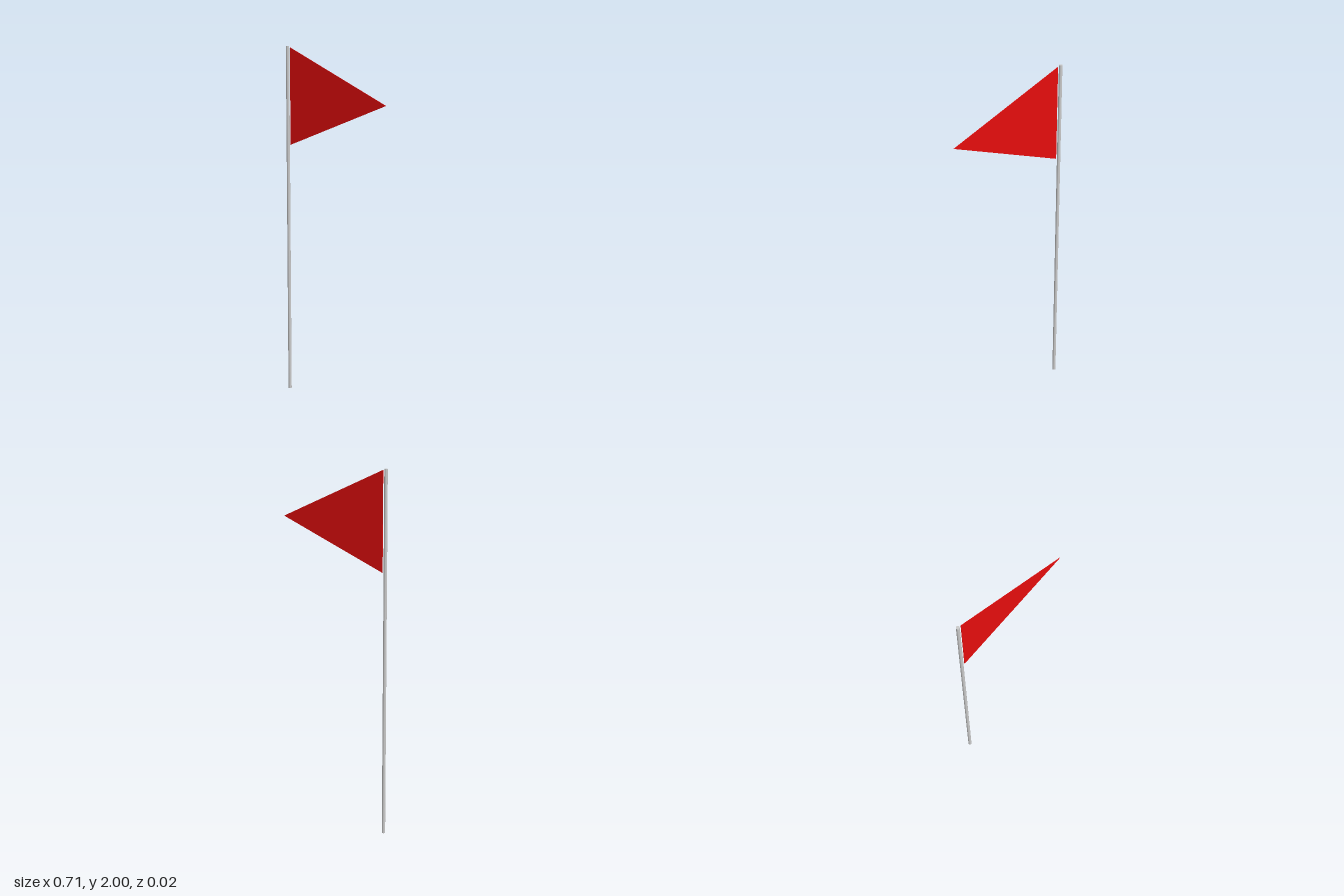
import * as THREE from 'three';

export function createModel() {
  const model = new THREE.Group();
  model.name = 'pennantFlag';

  // Slim round pole
  const poleRadius = 0.0095;
  const poleHeight = 2;
  const pole = new THREE.Mesh(
    new THREE.CylinderGeometry(poleRadius, poleRadius, poleHeight, 16),
    new THREE.MeshStandardMaterial({ color: 0xcccccc })
  );
  pole.name = 'pole';
  pole.position.set(-0.3475, poleHeight / 2, 0);
  model.add(pole);

  // Thin triangular pennant, set just clear of the pole
  const thickness = 0.002;
  const outline = new THREE.Shape([
    new THREE.Vector2(-0.329, 1.447),
    new THREE.Vector2(0.357, 1.72),
    new THREE.Vector2(-0.329, 1.994),
  ]);
  const cloth = new THREE.ExtrudeGeometry(outline, { depth: thickness, bevelEnabled: false });
  cloth.translate(0, 0, -thickness / 2);
  const pennant = new THREE.Mesh(cloth, new THREE.MeshStandardMaterial({ color: 0xe60d0d }));
  pennant.name = 'pennant';
  model.add(pennant);

  return model;
}
